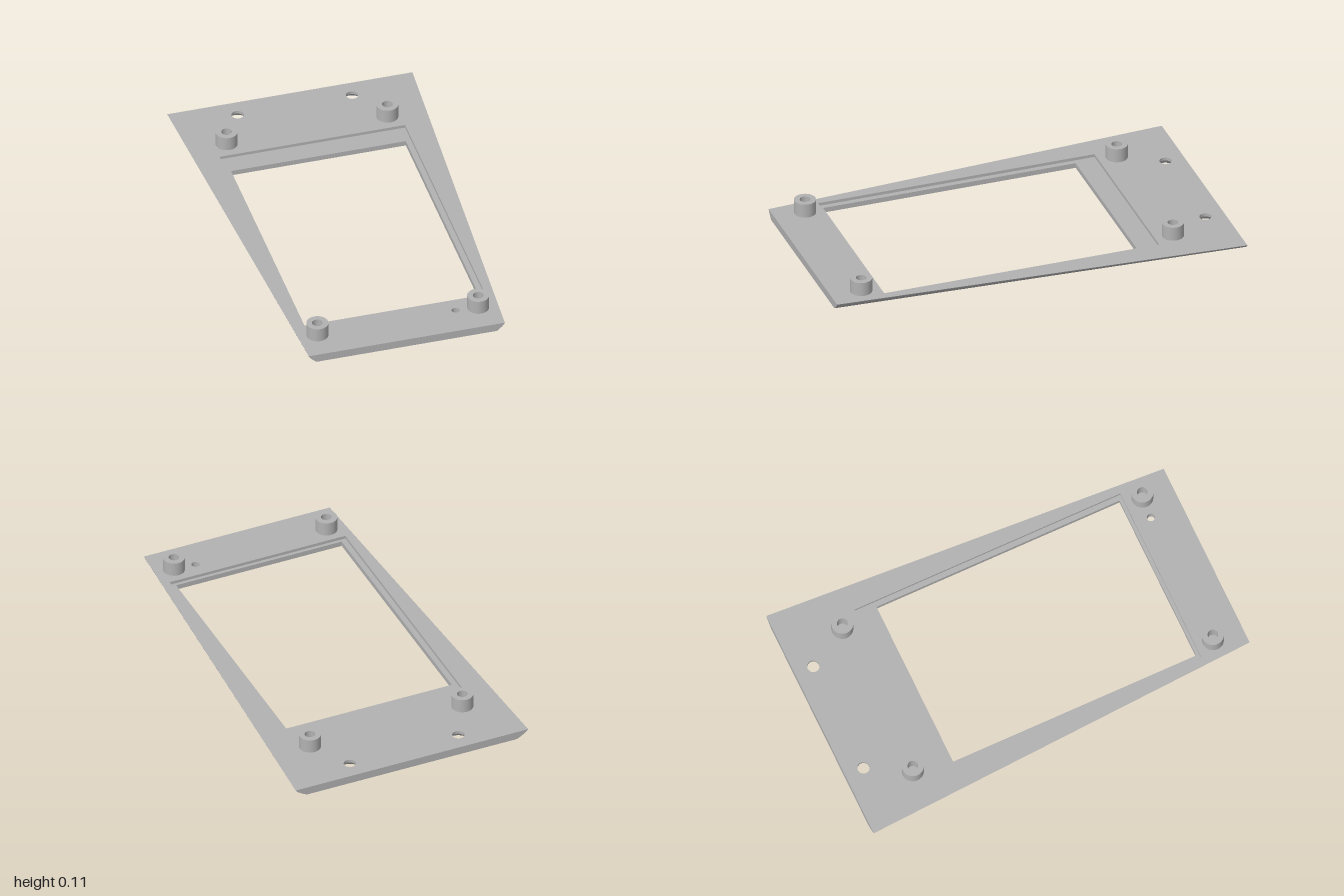
import * as THREE from 'three';
import { mergeGeometries } from 'three/addons/utils/BufferGeometryUtils.js';

const TOP = 0.04, LEDGE = 0.025, BOSS_TOP = 0.11, SEG = 32;

// Outlines are lists of [x, z]
const rect = (hx, z0, z1) => [[hx, z0], [hx, z1], [-hx, z1], [-hx, z0]];
const trapezoid = (back, front) => [[back, -1], [front, 1], [-front, 1], [-back, -1]];
const circle = (x, z, r) => Array.from({ length: SEG }, (_, i) => {
  const a = (i / SEG) * Math.PI * 2;
  return [x + r * Math.sin(a), z + r * Math.cos(a)];
});

// Horizontal face at height y, facing up or down
function flat(outline, holes, y, up = true) {
  const pts = (o) => o.map(([x, z]) => new THREE.Vector2(x, up ? -z : z));
  const shape = new THREE.Shape(pts(outline));
  shape.holes = holes.map((h) => new THREE.Path(pts(h)));
  return new THREE.ShapeGeometry(shape)
    .rotateX(up ? -Math.PI / 2 : Math.PI / 2).translate(0, y, 0);
}

// Vertical wall lining an opening
function lining(loop, y0, y1) {
  const pos = [];
  loop.forEach(([x, z], i) => {
    const [u, w] = loop[(i + 1) % loop.length];
    pos.push(x, y0, z, u, y0, w, x, y1, z, u, y0, w, u, y1, w, x, y1, z);
  });
  const g = new THREE.BufferGeometry();
  g.setAttribute('position', new THREE.Float32BufferAttribute(pos, 3));
  g.computeVertexNormals();
  return g;
}

// Revolved profile of [radius, y] with a sharp edge at each point
function revolve(profile, x, z) {
  const parts = profile.slice(1).map((p, i) =>
    new THREE.LatheGeometry([profile[i], p].map(([r, y]) => new THREE.Vector2(r, y)), SEG));
  return mergeGeometries(parts).translate(x, 0, z);
}

// Rounded underside of the long edges: half width at height fraction s
const halfWidth = (s, front) => {
  const inset = Math.pow(1 - s, 1.4);
  return front ? 0.478 - 0.038 * inset : 0.598 - 0.058 * inset;
};

function sideGeometry(sign) {
  const g = new THREE.PlaneGeometry(1, 1, 1, 10);
  const p = g.attributes.position;
  for (let i = 0; i < p.count; i++) {
    const s = p.getY(i) + 0.5;
    const front = p.getX(i) * sign < 0;
    p.setXYZ(i, sign * halfWidth(s, front), s * TOP, front ? 1 : -1);
  }
  g.computeVertexNormals();
  return g;
}

function endGeometry(front) {
  const right = Array.from({ length: 11 }, (_, i) =>
    new THREE.Vector2(halfWidth(i / 10, front), (i / 10) * TOP));
  const left = right.map((v) => new THREE.Vector2(-v.x, v.y)).reverse();
  const g = new THREE.ShapeGeometry(new THREE.Shape([...right, ...left]));
  if (!front) g.rotateY(Math.PI);
  return g.translate(0, 0, front ? 1 : -1);
}

export function createModel() {
  const group = new THREE.Group();
  const grey = new THREE.MeshStandardMaterial({ color: 0xb2b2b2 });
  grey.name = 'grey';
  const add = (name, geometry) => {
    const mesh = new THREE.Mesh(geometry, grey);
    mesh.name = name;
    group.add(mesh);
  };

  const recess = rect(0.452, -0.613, 0.763);
  const opening = rect(0.426, -0.51, 0.747);
  const screws = [[-0.281, -0.906], [0.277, -0.906]];
  const small = [0.283, 0.843];

  // Plate faces
  add('plateTop', flat(trapezoid(0.598, 0.478),
    [recess, ...screws.map(([x, z]) => circle(x, z, 0.029)), circle(...small, 0.019)], TOP));
  add('plateBottom', flat(trapezoid(0.54, 0.44),
    [opening, ...screws.map(([x, z]) => circle(x, z, 0.052)), circle(...small, 0.019)], 0, false));
  add('leftSide', sideGeometry(1));
  add('rightSide', sideGeometry(-1));
  add('frontEnd', endGeometry(true));
  add('backEnd', endGeometry(false));

  // Stepped window
  add('windowLedge', flat(recess, [opening], LEDGE));
  add('recessWall', lining(recess, LEDGE, TOP));
  add('openingWall', lining(opening, 0, LEDGE));

  // Countersunk screw holes and the small hole
  for (const [x, z] of screws)
    add('screwHole', revolve([[0.029, TOP], [0.029, 0.025], [0.052, 0]], x, z));
  add('smallHole', revolve([[0.019, TOP], [0.019, 0]], ...small));

  // Hollow mounting bosses
  for (const x of [-0.393, 0.391])
    for (const z of [-0.703, 0.849])
      add('boss', revolve([[0.052, TOP], [0.052, BOSS_TOP], [0.025, BOSS_TOP], [0.025, TOP]], x, z));

  return group;
}
